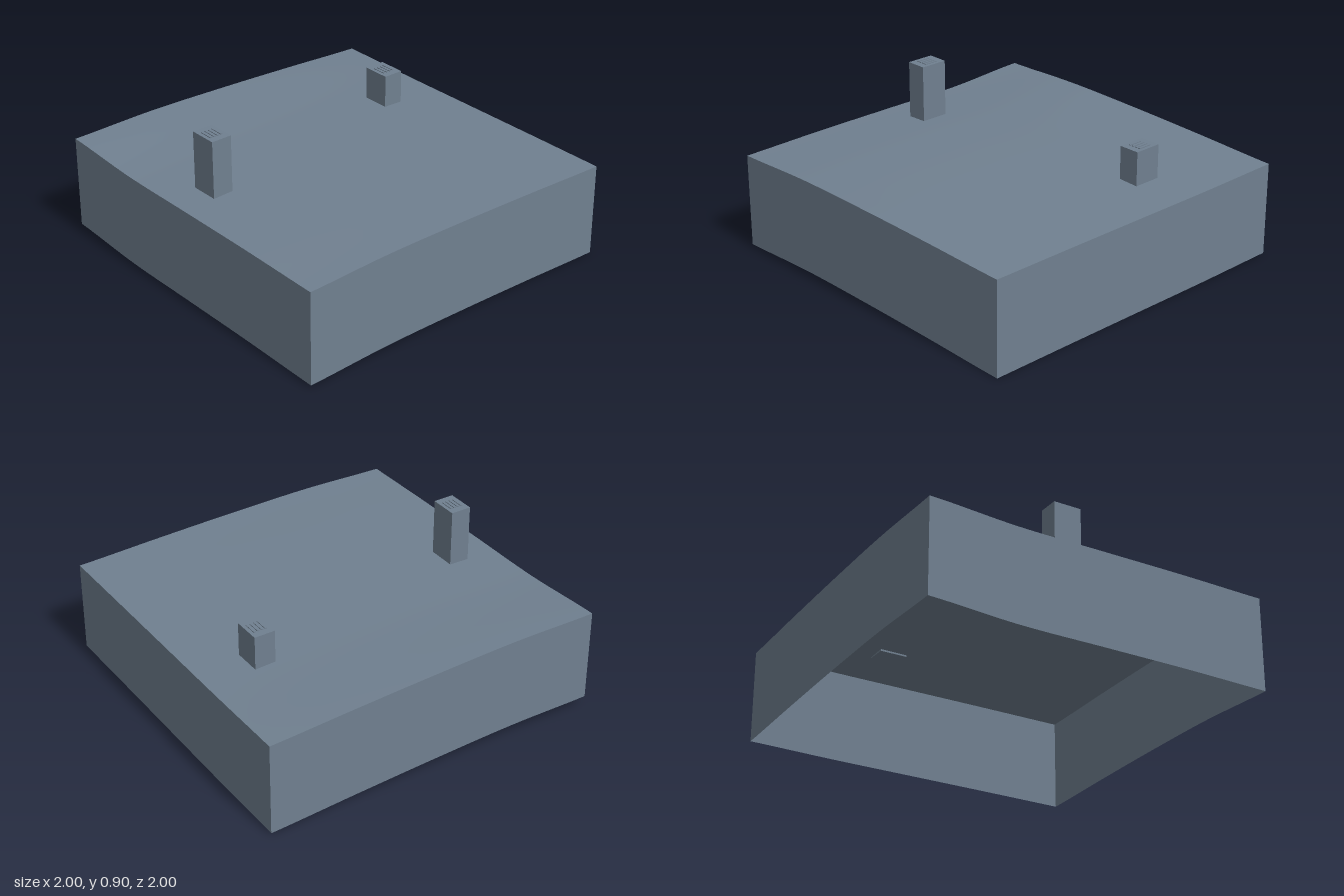
import * as THREE from 'three';

const DEPTH = 0.534;

// Ground height: a ridge along x that rises towards the back left
const curve = (ys) => new THREE.SplineCurve(ys.map((y, i) => new THREE.Vector2(i, y)));
const ridge = curve([0.55, 0.566, 0.562, 0.55, 0.534]);
const rise = curve([0.03, 0.008, 0.007, 0.006, 0]);
const at = (c, v) => c.getPoint(THREE.MathUtils.clamp((v + 1) / 2, 0, 1)).y;
const height = (x, z) => at(ridge, x) + at(rise, z) * (0.75 - 0.5 * x);

// Replaces each vertex height by a rule
function drape(geometry, rule) {
  const p = geometry.attributes.position;
  for (let i = 0; i < p.count; i++) p.setY(i, rule(p.getX(i), p.getY(i), p.getZ(i)));
  return geometry;
}

export function createModel() {
  const model = new THREE.Group();
  model.name = 'terrainTile';
  const slate = new THREE.MeshStandardMaterial({ color: 0x708090, side: THREE.DoubleSide });
  slate.name = 'slate';

  function add(parent, name, geometry) {
    const mesh = new THREE.Mesh(geometry, slate);
    mesh.name = name;
    parent.add(mesh);
    return mesh;
  }

  // Gently rolling top surface
  const top = drape(new THREE.PlaneGeometry(2, 2, 32, 32).rotateX(-Math.PI / 2), (x, y, z) => height(x, z));
  top.computeVertexNormals();
  add(model, 'ground', top);

  // Four skirt walls that follow the ground's edge, open underneath
  ['frontWall', 'leftWall', 'backWall', 'rightWall'].forEach((name, i) => {
    const wall = new THREE.PlaneGeometry(2, 2, 32, 1).translate(0, 0, 1).rotateY((i * Math.PI) / 2);
    add(model, name, drape(wall, (x, y, z) => height(x, z) - (y < 0 ? DEPTH : 0)));
  });

  // Square towers with a low vent grille on the roof
  function tower(name, x, z, w, d, topY) {
    const group = new THREE.Group();
    group.name = name;
    const base = height(x, z) - 0.008;
    add(group, 'shaft', new THREE.BoxGeometry(w, topY - base, d)).position.set(x, (topY + base) / 2, z);
    for (let i = 0; i < 4; i++) {
      const bar = add(group, 'ventBar', new THREE.BoxGeometry(0.012, 0.004, d * 0.5));
      bar.position.set(x + (i - 1.5) * 0.022, topY + 0.002, z);
    }
    model.add(group);
  }
  tower('tallTower', -0.75, -0.083, 0.12, 0.162, 0.892);
  tower('shortTower', 0.662, -0.335, 0.12, 0.162, 0.738);

  return model;
}
